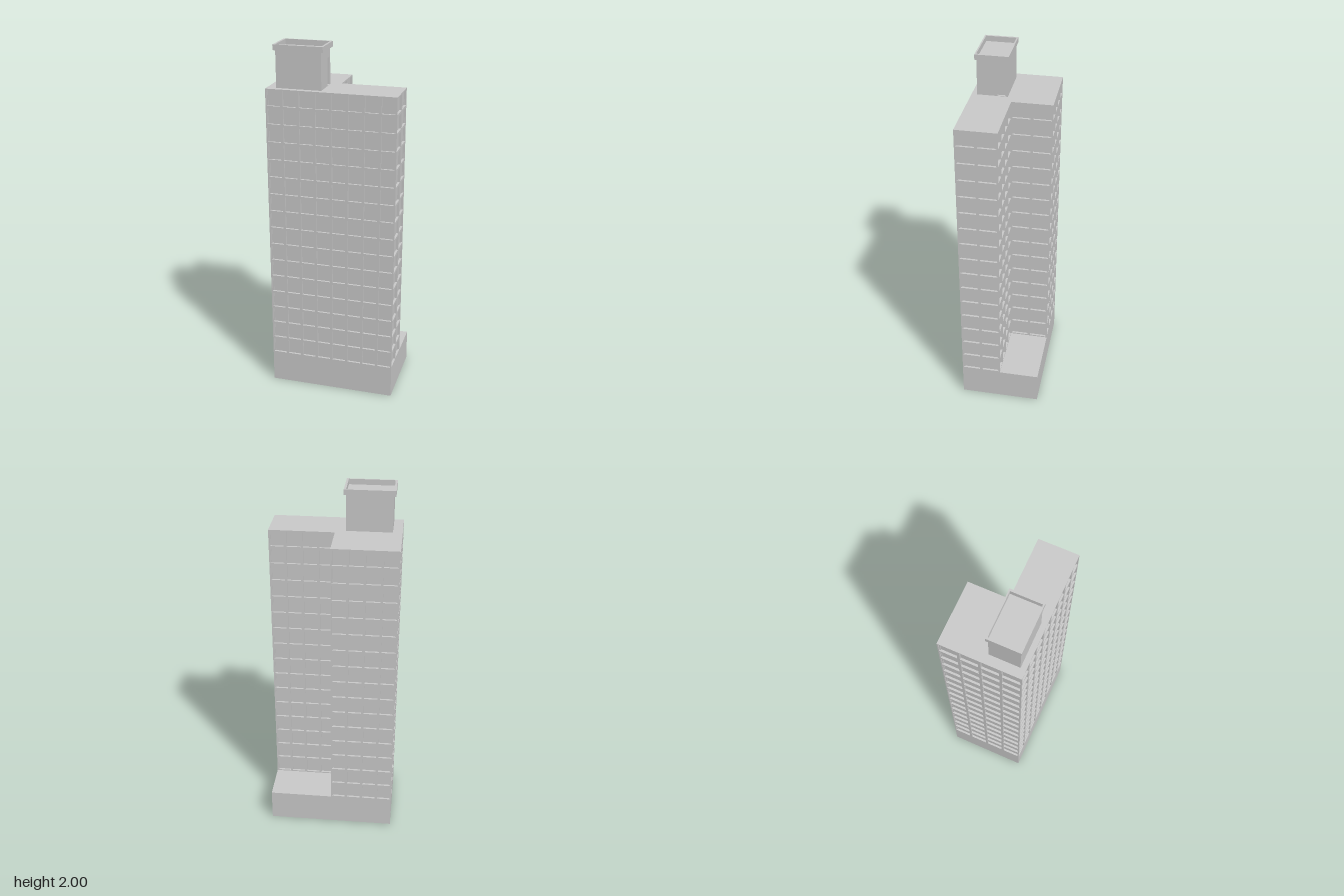
import * as THREE from 'three';
import { mergeGeometries } from 'three/addons/utils/BufferGeometryUtils.js';

const X = 0.357, Z = 0.224;           // half footprint
const BASE = 0.18, ROOF = 1.77, TOP = 2;
const ROWS = 16, DEPTH = 0.012, MARGIN = 0.007;

const material = new THREE.MeshStandardMaterial({
  color: 0xcccccc, flatShading: true, side: THREE.DoubleSide,
});

function rectPath(target, x0, y0, x1, y1) {
  target.moveTo(x0, y0);
  target.lineTo(x1, y0);
  target.lineTo(x1, y1);
  target.lineTo(x0, y1);
  target.closePath();
  return target;
}

// A shallow box without its front side, set behind the wall plane
function recess([x0, y0, x1, y1]) {
  const g = new THREE.BoxGeometry(x1 - x0, y1 - y0, DEPTH);
  const index = Array.from(g.index.array);
  index.splice(24, 6);
  g.setIndex(index);
  g.clearGroups();
  return g.translate((x0 + x1) / 2, (y0 + y1) / 2, -DEPTH / 2);
}

// Wall from a to b (outside on the right-hand side), with recessed openings
function wall(name, [ax, az], [bx, bz], y0, y1, openings = []) {
  const width = Math.hypot(bx - ax, bz - az);
  const group = new THREE.Group();
  group.name = name;
  const shape = rectPath(new THREE.Shape(), 0, y0, width, y1);
  openings.forEach((o) => shape.holes.push(rectPath(new THREE.Path(), ...o)));
  const face = new THREE.Mesh(new THREE.ShapeGeometry(shape), material);
  face.name = name + 'Face';
  group.add(face);
  if (openings.length) {
    const panes = new THREE.Mesh(mergeGeometries(openings.map(recess)), material);
    panes.name = name + 'Recesses';
    group.add(panes);
  }
  group.position.set(ax, 0, az);
  group.rotation.y = Math.atan2(az - bz, bx - ax);
  return group;
}

// Regular grid of window openings over the tower height
function windowGrid(width, columns) {
  const list = [], w = width / columns, h = (ROOF - BASE) / ROWS;
  for (let r = 0; r < ROWS; r++) {
    for (let c = 0; c < columns; c++) {
      list.push([c * w + MARGIN, BASE + r * h + MARGIN,
        (c + 1) * w - MARGIN, BASE + (r + 1) * h - MARGIN]);
    }
  }
  return list;
}

// Horizontal surface from a plan outline of [x, z] points
function deck(name, points, y) {
  const shape = new THREE.Shape(points.map(([x, z]) => new THREE.Vector2(x, -z)));
  const mesh = new THREE.Mesh(new THREE.ShapeGeometry(shape).rotateX(-Math.PI / 2), material);
  mesh.name = name;
  mesh.position.y = y;
  return mesh;
}

export function createModel() {
  const model = new THREE.Group();
  model.name = 'towerBlock';

  // L-shaped tower; the outer walls run down to the ground
  const plan = [
    ['frontWall', [-X, Z], [X, Z], 8, 0],
    ['leftWall', [X, Z], [X, 0], 2, 0],
    ['notchBackWall', [X, 0], [0, 0], 4, BASE],
    ['notchSideWall', [0, 0], [0, -Z], 2, BASE],
    ['backWall', [0, -Z], [-X, -Z], 4, 0],
    ['rightWall', [-X, -Z], [-X, Z], 4, 0],
  ];
  for (const [name, a, b, columns, y0] of plan) {
    const width = Math.hypot(b[0] - a[0], b[1] - a[1]);
    model.add(wall(name, a, b, y0, ROOF, windowGrid(width, columns)));
  }
  model.add(deck('towerRoof', plan.map((p) => p[1]), ROOF));

  // Low podium filling the notch
  model.add(wall('podiumLeftWall', [X, 0], [X, -Z], 0, BASE));
  model.add(wall('podiumBackWall', [X, -Z], [0, -Z], 0, BASE));
  model.add(deck('podiumRoof', [[X, 0], [X, -Z], [0, -Z], [0, 0]], BASE));

  // Roof house with a recessed door on its left side
  const house = new THREE.Group();
  house.name = 'roofHouse';
  const x0 = -0.305, x1 = -0.056, z0 = 0.028, z1 = 0.194, lip = 0.97 + 1;
  const corners = [[x0, z1], [x1, z1], [x1, z0], [x0, z0]];
  const door = [[0.108, ROOF + 0.002, 0.152, ROOF + 0.15]];
  ['Front', 'Left', 'Back', 'Right'].forEach((side, i) => {
    house.add(wall('house' + side, corners[i], corners[(i + 1) % 4], ROOF, lip,
      side === 'Left' ? door : []));
  });
  house.add(deck('houseRoof', corners, lip));

  // Overhanging parapet ring
  const ring = rectPath(new THREE.Shape(), -0.317, -0.202, -0.044, -0.02);
  ring.holes.push(rectPath(new THREE.Path(), x0, -z1, x1, -z0));
  const parapet = new THREE.Mesh(
    new THREE.ExtrudeGeometry(ring, { depth: TOP - lip, bevelEnabled: false })
      .rotateX(-Math.PI / 2), material);
  parapet.name = 'parapet';
  parapet.position.y = lip;
  house.add(parapet);
  model.add(house);

  return model;
}
